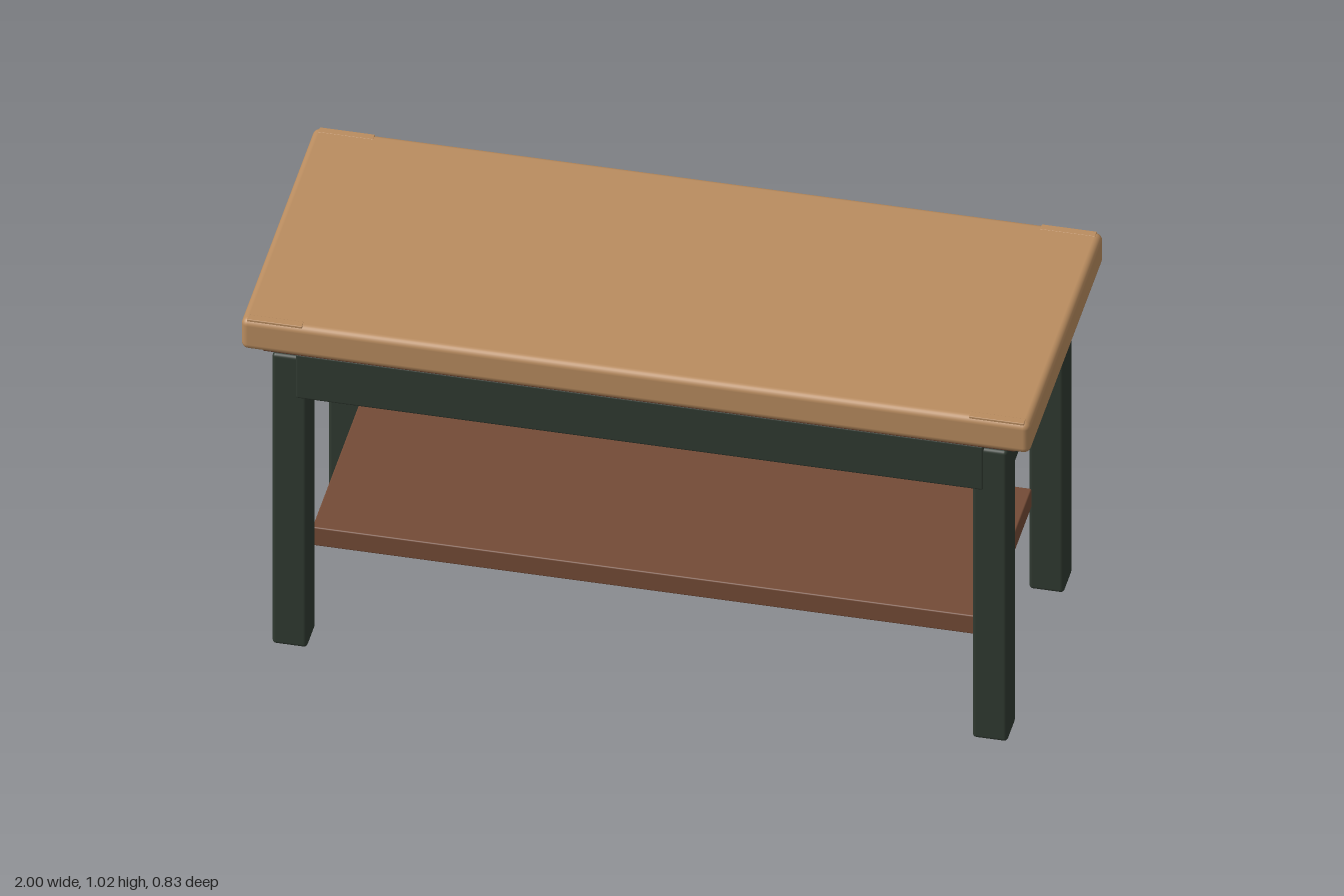
import * as THREE from 'three';
import { RoundedBoxGeometry } from 'three/addons/geometries/RoundedBoxGeometry.js';

const flat = (name, color) => Object.assign(new THREE.MeshStandardMaterial({ color }), { name });

export function createModel() {
  const table = new THREE.Group();
  table.name = 'table';
  const lightWood = flat('lightWood', 0xb98c5f);
  const darkWood = flat('darkWood', 0x744b36);
  const greenPaint = flat('greenPaint', 0x303a31);

  // Softly rounded board given by its min and max corners
  function board(name, material, [x0, y0, z0], [x1, y1, z1], radius) {
    const geometry = new RoundedBoxGeometry(x1 - x0, y1 - y0, z1 - z0, 3, radius);
    const mesh = new THREE.Mesh(geometry, material);
    mesh.name = name;
    mesh.position.set((x0 + x1) / 2, (y0 + y1) / 2, (z0 + z1) / 2);
    table.add(mesh);
    return mesh;
  }

  // Top, the moulding beneath it, and the low shelf
  board('tableTop', lightWood, [-1, 0.93, -0.415], [1, 1.022, 0.415], 0.018);
  board('moulding', darkWood, [-0.955, 0.9, -0.37], [0.955, 0.933, 0.37], 0.005);
  board('shelf', darkWood, [-0.85, 0.252, -0.275], [0.85, 0.308, 0.275], 0.004);

  // Long aprons front and back
  for (const s of [1, -1]) {
    const apron = board(s > 0 ? 'frontApron' : 'backApron', greenPaint,
      [-0.872, 0.766, 0.302], [0.872, 0.901, 0.366], 0.006);
    apron.position.z *= s;
  }

  // Short aprons at both ends
  for (const s of [1, -1]) {
    const apron = board(s > 0 ? 'leftApron' : 'rightApron', greenPaint,
      [0.866, 0.766, -0.292], [0.922, 0.901, 0.292], 0.006);
    apron.position.x *= s;
  }

  // Legs, and the slim edge strips at the corners of the top
  for (const sx of [1, -1]) {
    for (const sz of [1, -1]) {
      const side = (sz > 0 ? 'front' : 'back') + (sx > 0 ? 'Left' : 'Right');
      const leg = board(side + 'Leg', greenPaint, [0.843, 0, 0.27], [0.932, 0.892, 0.364], 0.01);
      const strip = board(side + 'EdgeStrip', lightWood, [0.845, 1.008, 0.388], [0.985, 1.0225, 0.41], 0.002);
      for (const part of [leg, strip]) {
        part.position.x *= sx;
        part.position.z *= sz;
      }
    }
  }
  return table;
}
